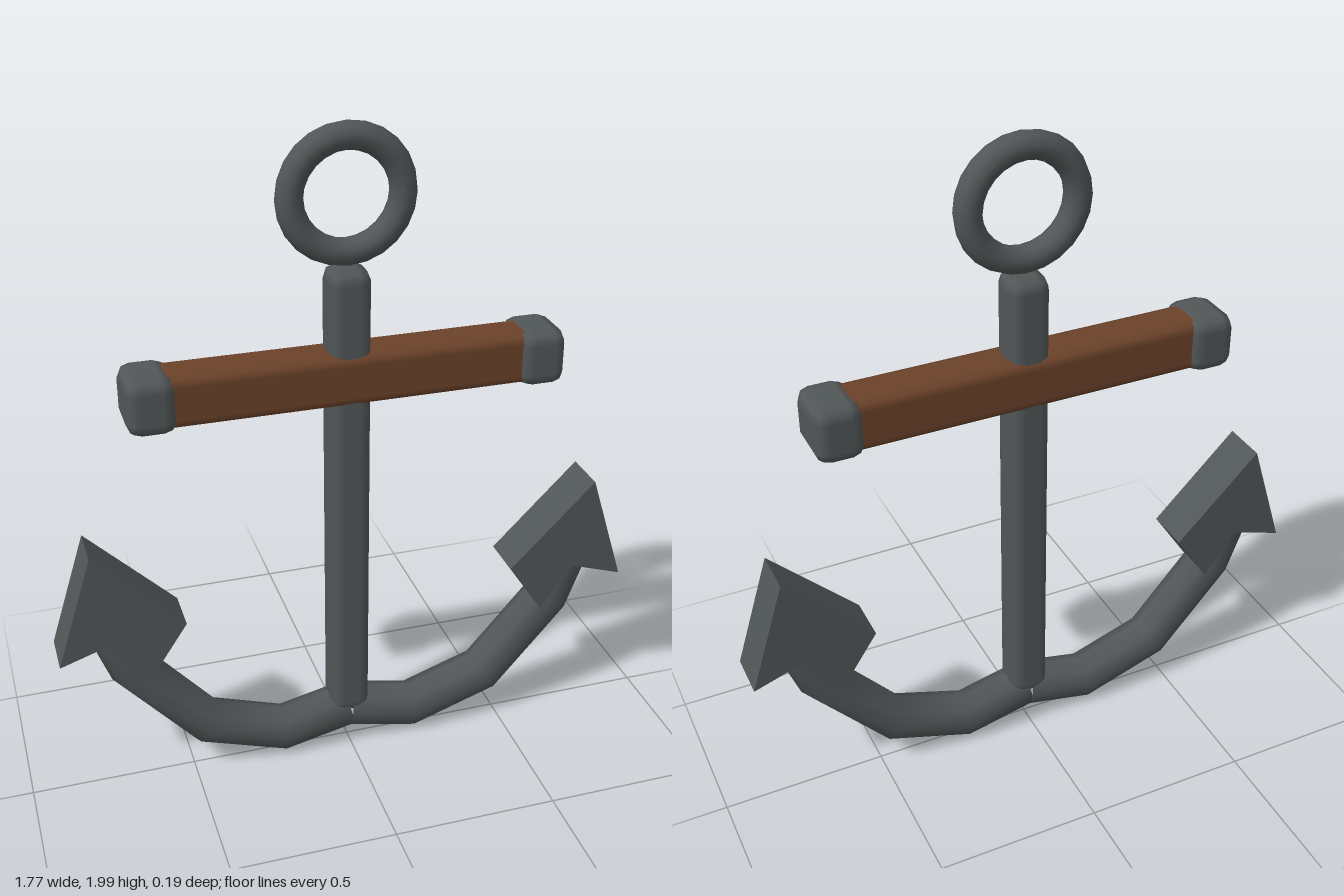
import * as THREE from 'three';
import { mergeVertices } from 'three/addons/utils/BufferGeometryUtils.js';
import { RoundedBoxGeometry } from 'three/addons/geometries/RoundedBoxGeometry.js';

const iron = new THREE.MeshStandardMaterial({ name: 'darkIron', color: 0x515656 });
const wood = new THREE.MeshStandardMaterial({ name: 'brownWood', color: 0x6b4229 });

// Eight-sided bar swept along a polyline in the xy plane, mitred at each bend
function sweptBar(path, radius, sides = 8) {
  const positions = [], index = [];
  path.forEach((p, i) => {
    const a = path[Math.max(i - 1, 0)], b = path[Math.min(i + 1, path.length - 1)];
    const inDir = p.clone().sub(a).normalize(), outDir = b.clone().sub(p).normalize();
    const dir = inDir.clone().add(outDir).normalize();
    const miter = i > 0 && i < path.length - 1 ? radius / dir.dot(outDir) : radius;
    for (let s = 0; s < sides; s++) {
      const t = (s / sides) * Math.PI * 2;
      const n = Math.cos(t) * miter;
      positions.push(p.x - dir.y * n, p.y + dir.x * n, Math.sin(t) * radius);
      if (i < path.length - 1) {
        const c = i * sides + s, d = i * sides + (s + 1) % sides;
        index.push(c, d, c + sides, d, d + sides, c + sides);
      }
    }
  });
  const geometry = new THREE.BufferGeometry();
  geometry.setAttribute('position', new THREE.Float32BufferAttribute(positions, 3));
  geometry.setIndex(index);
  geometry.computeVertexNormals();
  return geometry;
}

export function createModel() {
  const anchor = new THREE.Group();
  anchor.name = 'anchor';
  const add = (name, geometry, material, x = 0, y = 0, z = 0) => {
    const mesh = new THREE.Mesh(geometry, material);
    mesh.name = name;
    mesh.position.set(x, y, z);
    anchor.add(mesh);
    return mesh;
  };

  // Ring, shank and wooden stock
  add('ring', new THREE.TorusGeometry(0.16, 0.04, 10, 24), iron, 0, 1.8);
  add('shank', new RoundedBoxGeometry(0.124, 1.47, 0.13, 1, 0.04), iron, 0, 0.865);
  add('stock', new RoundedBoxGeometry(1.16, 0.156, 0.146, 1, 0.03), wood, 0, 1.28);

  for (const side of [1, -1]) {
    const label = side > 0 ? 'left' : 'right';
    const points = (list) => {
      const pts = list.map(([x, y]) => new THREE.Vector2(x * side, y));
      return pts;
    };

    // Iron cap on the stock end
    add(label + 'StockCap', new RoundedBoxGeometry(0.142, 0.17, 0.19, 1, 0.04), iron, side * 0.57, 1.28);

    // Curved arm
    const path = points([[0, 0.127], [0.21, 0.08], [0.455, 0.163], [0.67, 0.41], [0.74, 0.6]]);
    if (side < 0) path.reverse();
    const arm = sweptBar(path, 0.07);
    // Make sure the faces point outward
    const normal = arm.attributes.normal, pos = arm.attributes.position;
    const top = 2 * 8 + 2;
    if (normal.getZ(top) * pos.getZ(top) < 0) {
      const idx = arm.index.array;
      for (let i = 0; i < idx.length; i += 3) [idx[i + 1], idx[i + 2]] = [idx[i + 2], idx[i + 1]];
      arm.computeVertexNormals();
    }
    add(label + 'Arm', mergeVertices(arm), iron);

    // Arrow-shaped fluke with a notched base
    const fluke = new THREE.Shape(points([[0.775, 0.84], [0.51, 0.575], [0.62, 0.41], [0.72, 0.55], [0.885, 0.495]]));
    add(label + 'Fluke', new THREE.ExtrudeGeometry(fluke, { depth: 0.144, bevelEnabled: false }), iron, 0, 0, -0.072);
  }
  return anchor;
}
